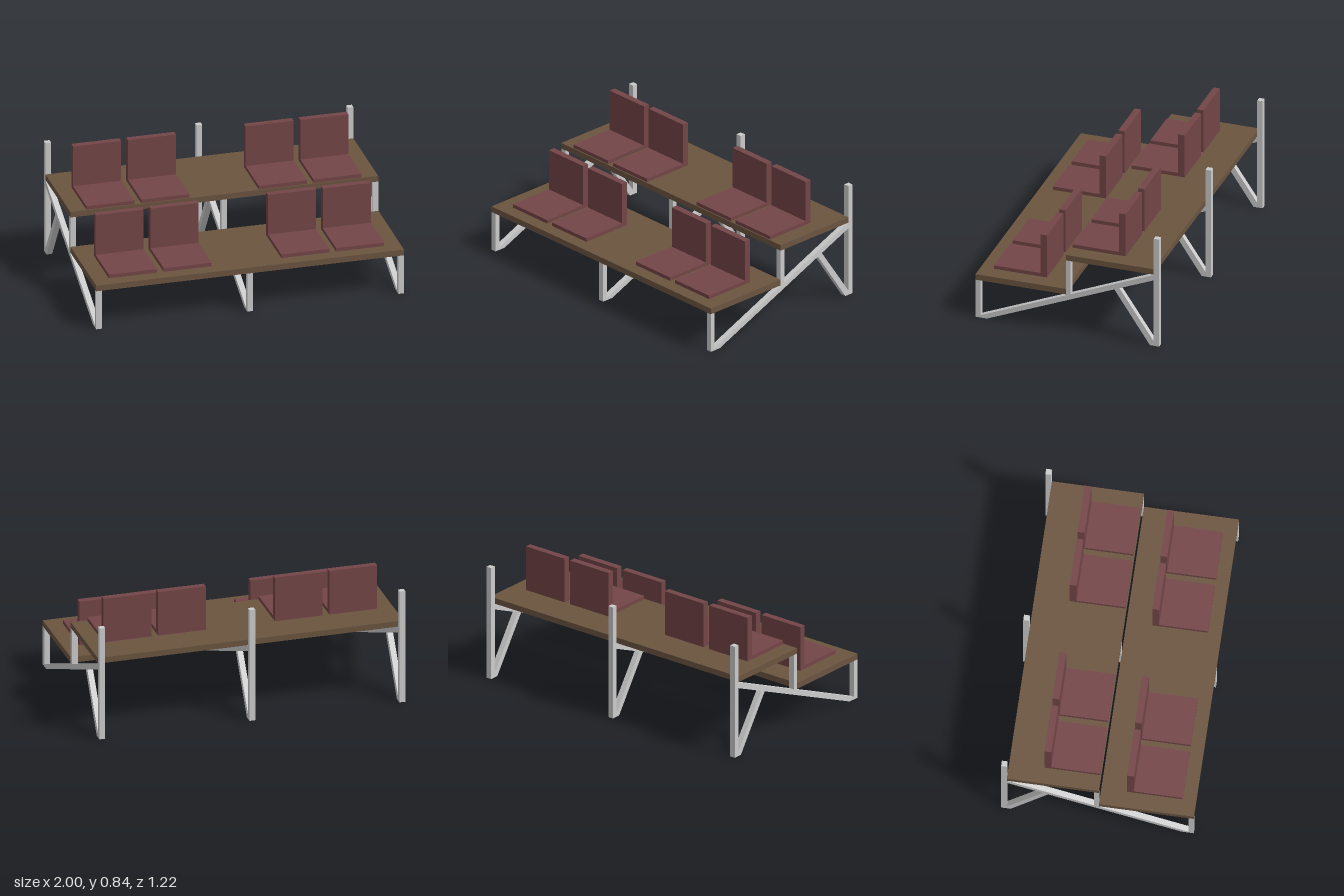
import * as THREE from 'three';

const steel = new THREE.MeshStandardMaterial({ color: 0xcccccc });
const wood = new THREE.MeshStandardMaterial({ color: 0x6b543f });
const fabric = new THREE.MeshStandardMaterial({ color: 0x734547 });

const POST = 0.037; // frame thickness across x

// Box from its limits on each axis
function box(name, material, [x0, x1], [y0, y1], [z0, z1]) {
  const mesh = new THREE.Mesh(new THREE.BoxGeometry(x1 - x0, y1 - y0, z1 - z0), material);
  mesh.position.set((x0 + x1) / 2, (y0 + y1) / 2, (z0 + z1) / 2);
  mesh.name = name;
  return mesh;
}

// Mitred bar: an outline of [z, y] points extruded across the frame thickness
function bar(name, points) {
  const shape = new THREE.Shape(points.map(([z, y]) => new THREE.Vector2(z, y)));
  const geometry = new THREE.ExtrudeGeometry(shape, { depth: POST, bevelEnabled: false });
  geometry.translate(0, 0, -POST / 2);
  geometry.rotateY(-Math.PI / 2);
  const mesh = new THREE.Mesh(geometry, steel);
  mesh.name = name;
  return mesh;
}

// One upright support frame: three posts, a long sloping beam and a back strut
function makeFrame(x) {
  const frame = new THREE.Group();
  frame.name = 'supportFrame';
  const width = [-POST / 2, POST / 2];
  frame.add(
    box('frontPost', steel, width, [0, 0.262], [0.577, 0.61]),
    box('middlePost', steel, width, [0.245, 0.503], [-0.022, 0.01]),
    box('backPost', steel, width, [0, 0.757], [-0.608, -0.572]),
    bar('slopingBeam', [[0.577, 0], [0.577, 0.016], [-0.572, 0.501], [-0.572, 0.463], [0.533, 0]]),
    bar('backStrut', [[-0.547, 0], [-0.308, 0.358], [-0.341, 0.373], [-0.572, 0.032], [-0.572, 0]])
  );
  frame.position.x = x;
  return frame;
}

// Seat pad with an upright backrest; origin at the pad's front bottom edge
function makeSeat(x, y, z) {
  const seat = new THREE.Group();
  seat.name = 'seat';
  const width = [-0.156, 0.156];
  seat.add(
    box('seatPad', fabric, width, [0, 0.024], [-0.309, 0]),
    box('backrest', fabric, width, [0, 0.297], [-0.352, -0.309])
  );
  seat.position.set(x, y, z);
  return seat;
}

export function createModel() {
  const model = new THREE.Group();
  model.name = 'tieredSeating';

  // Two stepped decks
  model.add(
    box('lowerDeck', wood, [-1, 1], [0.262, 0.301], [0.01, 0.61]),
    box('upperDeck', wood, [-1, 1], [0.503, 0.541], [-0.572, 0.01])
  );

  // Frames at both ends and in the middle
  for (const x of [-1 + POST / 2, 0, 1 - POST / 2]) model.add(makeFrame(x));

  // Pairs of seats on either side of the aisle, on each deck
  for (const [y, z] of [[0.301, 0.525], [0.541, 0.003]]) {
    for (const x of [-0.738, -0.382, 0.382, 0.738]) model.add(makeSeat(x, y, z));
  }
  return model;
}
